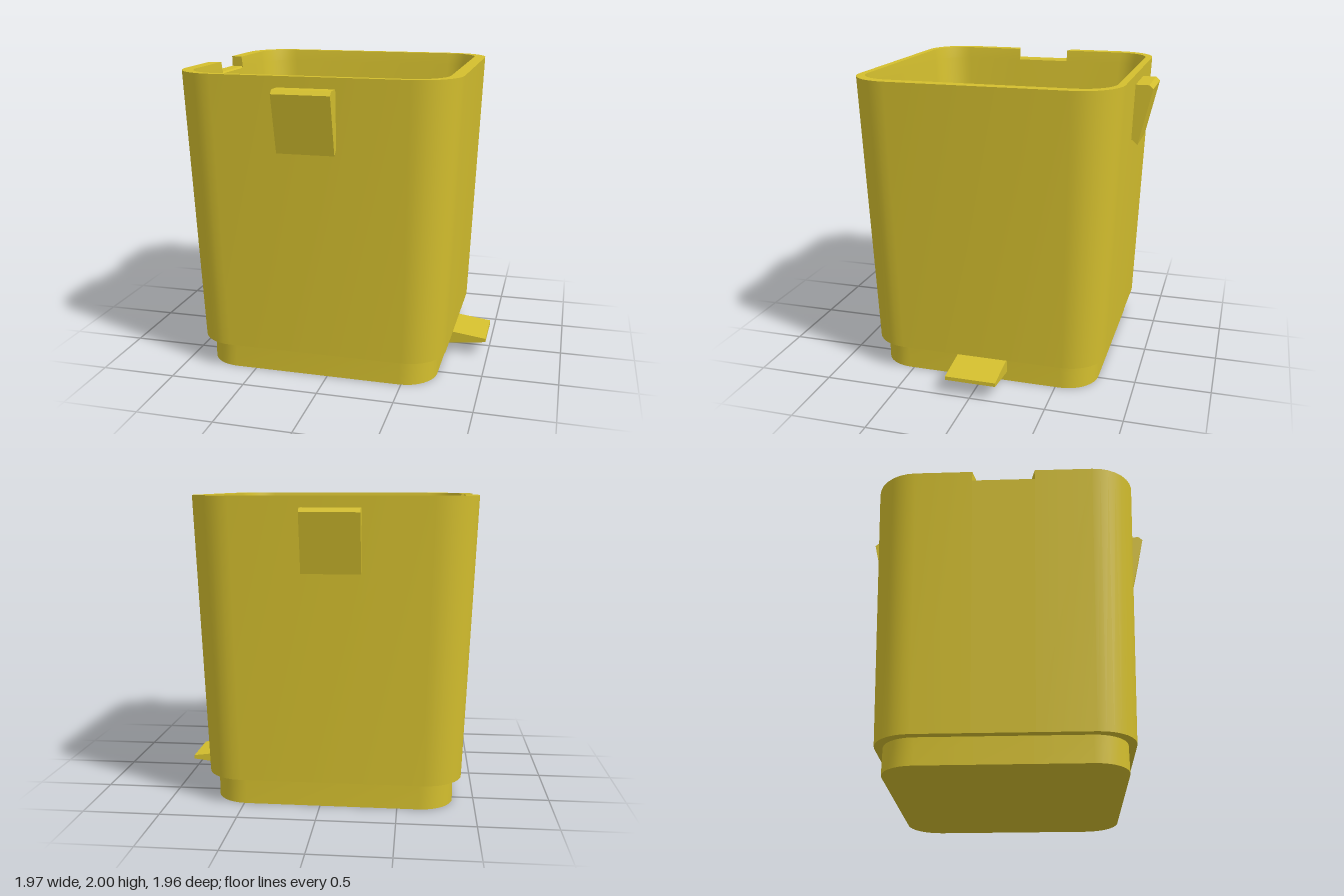
import * as THREE from 'three';
import { toCreasedNormals } from 'three/addons/utils/BufferGeometryUtils.js';

const material = new THREE.MeshStandardMaterial({ color: 0xd4bf2e, roughness: 0.8 });
const CENTER_X = -0.077;
const NOTCH_Y = 1.93;
const CORNER_STEPS = 8;

// Rounded-rectangle ring; the left side (-x) carries the doubled points of the rim notch
function ring([hx, hz, r, y]) {
  const points = [];
  const low = Math.min(y, NOTCH_Y);
  for (let q = 0; q < 4; q++) {
    const sx = q === 0 || q === 3 ? 1 : -1;
    const sz = q < 2 ? 1 : -1;
    for (let i = 0; i <= CORNER_STEPS; i++) {
      const a = (q + i / CORNER_STEPS) * Math.PI / 2;
      points.push([sx * (hx - r) + r * Math.cos(a), y, sz * (hz - r) + r * Math.sin(a)]);
    }
    if (q === 1) {
      const w = 0.228 * hx;
      points.push([-hx, y, w], [-hx, low, w], [-hx, low, -w], [-hx, y, -w]);
    }
  }
  return points.map((p) => new THREE.Vector3(...p));
}

// Skin between successive rings, skipping collapsed triangles
function loft(sections) {
  const rings = sections.map(ring);
  const positions = [];
  const triangle = (a, b, c) => {
    const area = b.clone().sub(a).cross(c.clone().sub(a)).length();
    if (area > 1e-7) positions.push(...a, ...b, ...c);
  };
  for (let k = 0; k < rings.length - 1; k++) {
    const lower = rings[k], upper = rings[k + 1], n = lower.length;
    for (let i = 0; i < n; i++) {
      const j = (i + 1) % n;
      triangle(lower[i], upper[i], lower[j]);
      triangle(lower[j], upper[i], upper[j]);
    }
  }
  const geometry = new THREE.BufferGeometry();
  geometry.setAttribute('position', new THREE.Float32BufferAttribute(positions, 3));
  return toCreasedNormals(geometry, 0.5);
}

// Side profile extruded across a width, centred on the extrusion axis
function slab(profile, width) {
  const shape = new THREE.Shape(profile.map(([x, y]) => new THREE.Vector2(x, y)));
  const geometry = new THREE.ExtrudeGeometry(shape, { depth: width, bevelEnabled: false });
  return geometry.translate(0, 0, -width / 2);
}

function addPart(group, name, geometry) {
  const mesh = new THREE.Mesh(geometry, material);
  mesh.name = name;
  group.add(mesh);
  return mesh;
}

export function createModel() {
  const model = new THREE.Group();
  model.name = 'bin';

  // Tapered bucket: underside, recessed base, outer wall, rim, inner wall, floor
  const bucket = addPart(model, 'bucket', loft([
    [0, 0, 0, 0],
    [0.783, 0.75, 0.22, 0],
    [0.783, 0.75, 0.22, 0.175],
    [0.838, 0.8, 0.25, 0.175],
    [0.908, 0.867, 0.28, 2],
    [0.828, 0.82, 0.22, 2],
    [0.818, 0.81, 0.215, 1.92],
    [0.715, 0.707, 0.18, 0.05],
    [0, 0, 0, 0.05],
  ]));
  bucket.position.x = CENTER_X;

  // Handle catches on the front and back walls
  const catchProfile = [[0.83, 1.57], [0.853, 1.565], [0.893, 1.53], [0.98, 1.905], [0.953, 1.93], [0.83, 1.93]];
  for (const [name, side] of [['frontCatch', 1], ['backCatch', -1]]) {
    const part = addPart(model, name, slab(catchProfile, 0.37));
    part.rotation.y = -side * Math.PI / 2;
    part.position.x = -0.085;
  }

  // Wedge-shaped foot pedal on the left side
  addPart(model, 'pedal', slab([[0.69, 0.063], [0.985, 0.1], [0.985, 0.125], [0.69, 0.163]], 0.34));

  return model;
}
